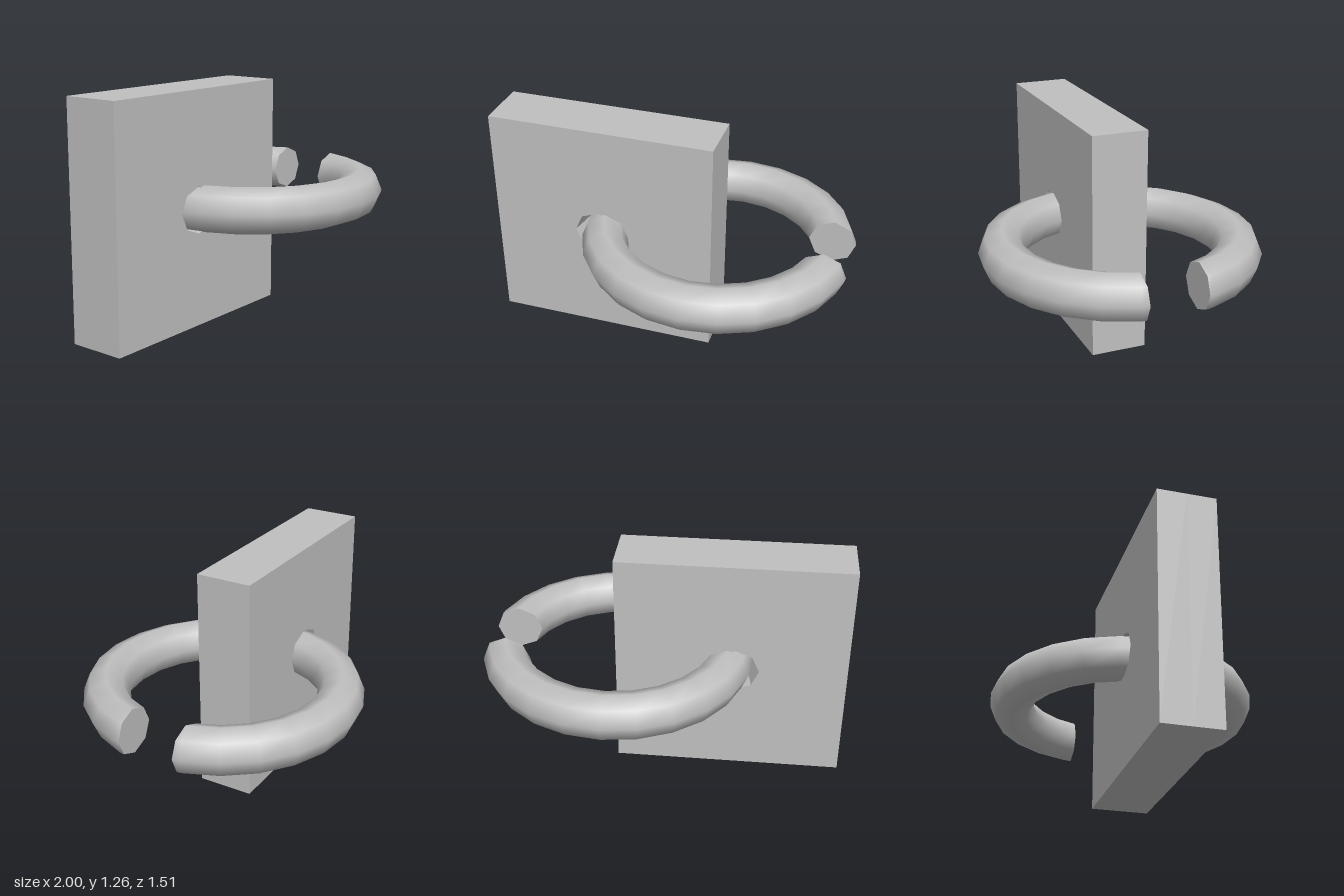
import * as THREE from 'three';

const R = 0.63;        // ring radius, also half the plate side
const r = 0.126;       // tube radius
const CUT = 0.1575;    // half thickness of the plate and half width of the ring gap
const STEP = Math.PI / 12;

// How far a 24-sided circle of the given radius has curved inward at z = CUT
function drop(radius) {
  const z1 = radius * Math.sin(STEP);
  const first = Math.min(CUT, z1) * Math.tan(STEP / 2);
  return first + Math.max(0, CUT - z1) * Math.tan(STEP * 1.5);
}

// Square plate with an octagonal hole that flares toward both faces
function plateGeometry() {
  const shape = new THREE.Shape([
    new THREE.Vector2(-1, 0), new THREE.Vector2(2 * R - 1, 0),
    new THREE.Vector2(2 * R - 1, 2 * R), new THREE.Vector2(-1, 2 * R),
  ]);
  const hole = [];
  for (let i = 0; i < 8; i++) {
    const a = -i * Math.PI / 4;
    hole.push(new THREE.Vector2(R - 1 + r * Math.cos(a), R + r * Math.sin(a)));
  }
  shape.holes.push(new THREE.Path(hole));
  const geo = new THREE.ExtrudeGeometry(shape, { depth: 2 * CUT, steps: 2, bevelEnabled: false });
  geo.translate(0, 0, -CUT);
  const p = geo.attributes.position;
  for (let i = 0; i < p.count; i++) {
    const x = p.getX(i);
    const inHole = Math.hypot(x - (R - 1), p.getY(i) - R) < r * 1.1;
    if (inHole && Math.abs(p.getZ(i)) > CUT / 2) p.setX(i, x - drop(x + 1));
  }
  geo.computeVertexNormals();
  return geo;
}

// Ring of eight-sided tube, opened by a flat-sided gap at +x
function ringGeometry() {
  const geo = new THREE.TorusGeometry(R, r, 8, 24);
  geo.rotateX(Math.PI / 2);
  const p = geo.attributes.position;
  for (let i = 0; i < p.count; i++) {
    const x = p.getX(i), z = p.getZ(i);
    if (x > 0 && Math.abs(z) < CUT) {
      const radius = Math.hypot(x, z);
      p.setX(i, radius - drop(radius));
      p.setZ(i, i % 25 < 12 ? CUT : -CUT);
    }
  }
  return geo;
}

// Flat end of the ring; side +1 is the end at +z
function capGeometry(side) {
  const geo = new THREE.CircleGeometry(r, 8);
  if (side > 0) geo.rotateY(Math.PI);
  const p = geo.attributes.position;
  for (let i = 0; i < p.count; i++) {
    const radius = R + p.getX(i);
    p.setX(i, radius - drop(radius));
    p.setZ(i, side * CUT);
  }
  return geo;
}

export function createModel() {
  const model = new THREE.Group();
  model.name = 'plateWithRing';
  const grey = new THREE.MeshStandardMaterial({ color: 0xc0c0c0 });
  grey.name = 'lightGrey';

  const add = (parent, name, geo) => {
    const mesh = new THREE.Mesh(geo, grey);
    mesh.name = name;
    parent.add(mesh);
  };

  add(model, 'plate', plateGeometry());

  const ring = new THREE.Group();
  ring.name = 'openRing';
  ring.position.set(2 * R - 1, R, 0);
  add(ring, 'ringTube', ringGeometry());
  add(ring, 'frontRingEnd', capGeometry(1));
  add(ring, 'backRingEnd', capGeometry(-1));
  model.add(ring);

  return model;
}
